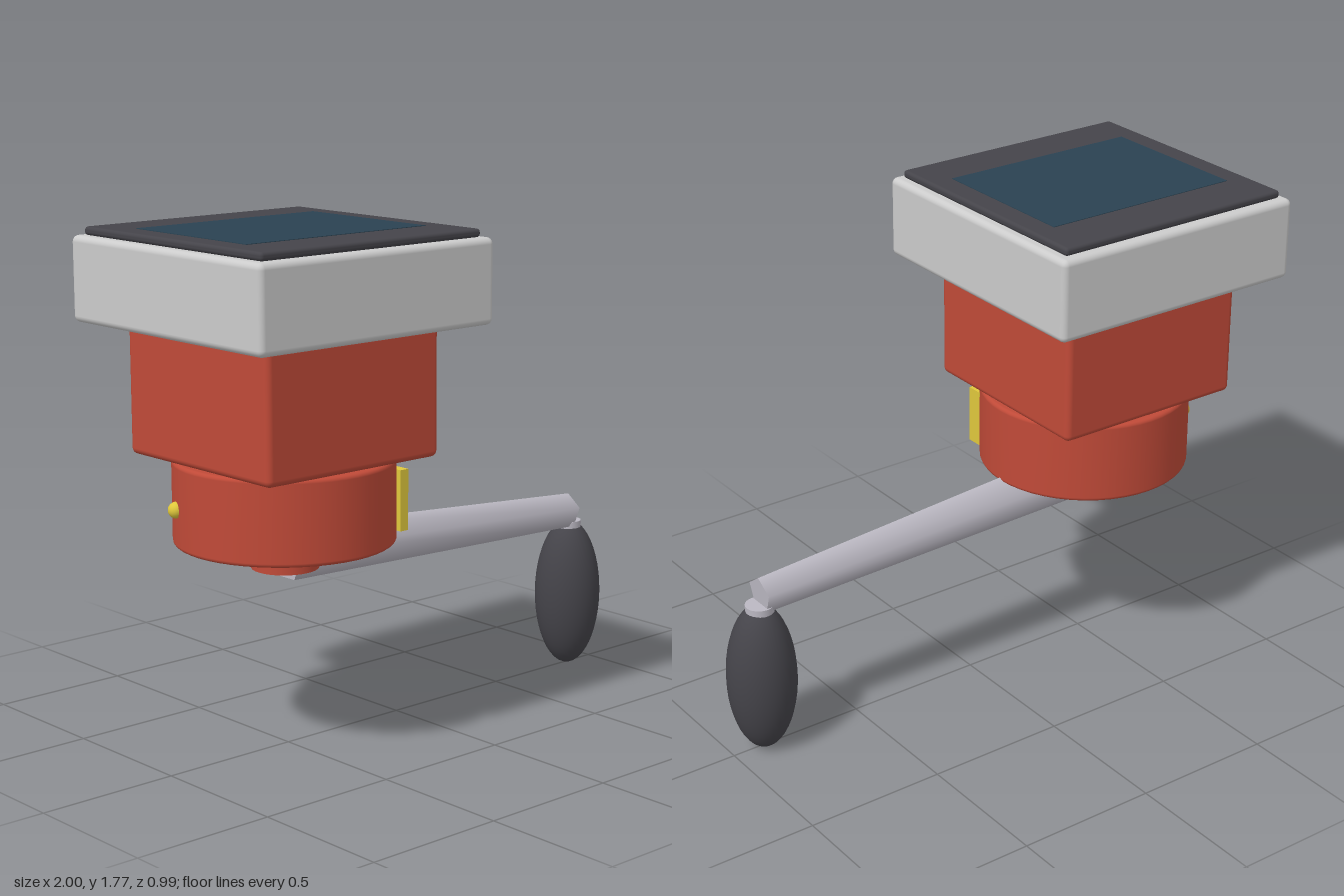
import * as THREE from 'three';
import { RoundedBoxGeometry } from 'three/addons/geometries/RoundedBoxGeometry.js';

const CX = -0.505; // axis of the body

export function createModel() {
  const group = new THREE.Group();
  const mat = (color) => new THREE.MeshStandardMaterial({ color });
  const red = mat(0xc04a38), grey = mat(0xcccccc), dark = mat(0x45444a);
  const steel = mat(0xbbb8c2), yellow = mat(0xe0c83c), blue = mat(0x2a4252);

  const add = (name, geometry, material, x, y, z = 0) => {
    const mesh = new THREE.Mesh(geometry, material);
    mesh.name = name;
    mesh.position.set(x, y, z);
    group.add(mesh);
    return mesh;
  };
  // Box given by its bottom and top heights
  const block = (name, w, y0, y1, d, r, material) =>
    add(name, new RoundedBoxGeometry(w, y1 - y0, d, 3, r), material, CX, (y0 + y1) / 2);
  // Upright drum with softly rounded rims
  const drum = (r, h, b) => {
    const pts = [new THREE.Vector2(0, 0)];
    for (let i = 0; i <= 4; i++) {
      const a = (i / 4) * Math.PI / 2;
      pts.push(new THREE.Vector2(r - b + b * Math.sin(a), b - b * Math.cos(a)));
    }
    for (let i = 0; i <= 4; i++) {
      const a = (i / 4) * Math.PI / 2;
      pts.push(new THREE.Vector2(r - b + b * Math.cos(a), h - b + b * Math.sin(a)));
    }
    pts.push(new THREE.Vector2(0, h));
    return new THREE.LatheGeometry(pts, 48);
  };

  // Display head
  block('displayHousing', 0.985, 1.45, 1.738, 0.985, 0.022, grey);
  block('displayBezel', 0.92, 1.737, 1.766, 0.92, 0.012, dark);
  add('screen', new THREE.BoxGeometry(0.75, 0.006, 0.57), blue, CX, 1.765);

  // Body
  block('gearHousing', 0.73, 1.007, 1.446, 0.73, 0.022, red);
  add('baseDrum', drum(0.375, 0.29, 0.014), red, CX, 0.715);
  add('crankHub', new THREE.CylinderGeometry(0.115, 0.115, 0.1, 32), red, CX, 0.672);

  // Indicators on the drum
  add('indicatorStrip', new THREE.BoxGeometry(0.035, 0.21, 0.06), yellow, -0.218, 0.855, 0.25);
  add('indicatorButton', new THREE.SphereGeometry(0.028, 16, 12), yellow, CX - 0.349, 0.85, -0.137);

  // Tapered five-sided crank arm, one ridge upward
  const from = new THREE.Vector3(-0.508, 0.664, 0), to = new THREE.Vector3(0.87, 0.593, 0);
  const dir = to.clone().sub(from);
  const armGeometry = new THREE.CylinderGeometry(0.065, 0.095, dir.length(), 5);
  armGeometry.rotateY(-Math.PI / 2); // ridge to -x, which tips up to +y
  armGeometry.rotateZ(Math.atan2(dir.y, dir.x) - Math.PI / 2);
  const mid = from.clone().add(to).multiplyScalar(0.5);
  add('crankArm', armGeometry, steel, mid.x, mid.y);

  // Grip
  add('gripCollar', new THREE.CylinderGeometry(0.05, 0.05, 0.025, 24), steel, 0.872, 0.545);
  const grip = add('grip', new THREE.SphereGeometry(0.122, 32, 24), dark, 0.876, 0.278);
  grip.scale.y = 0.278 / 0.122;

  return group;
}
